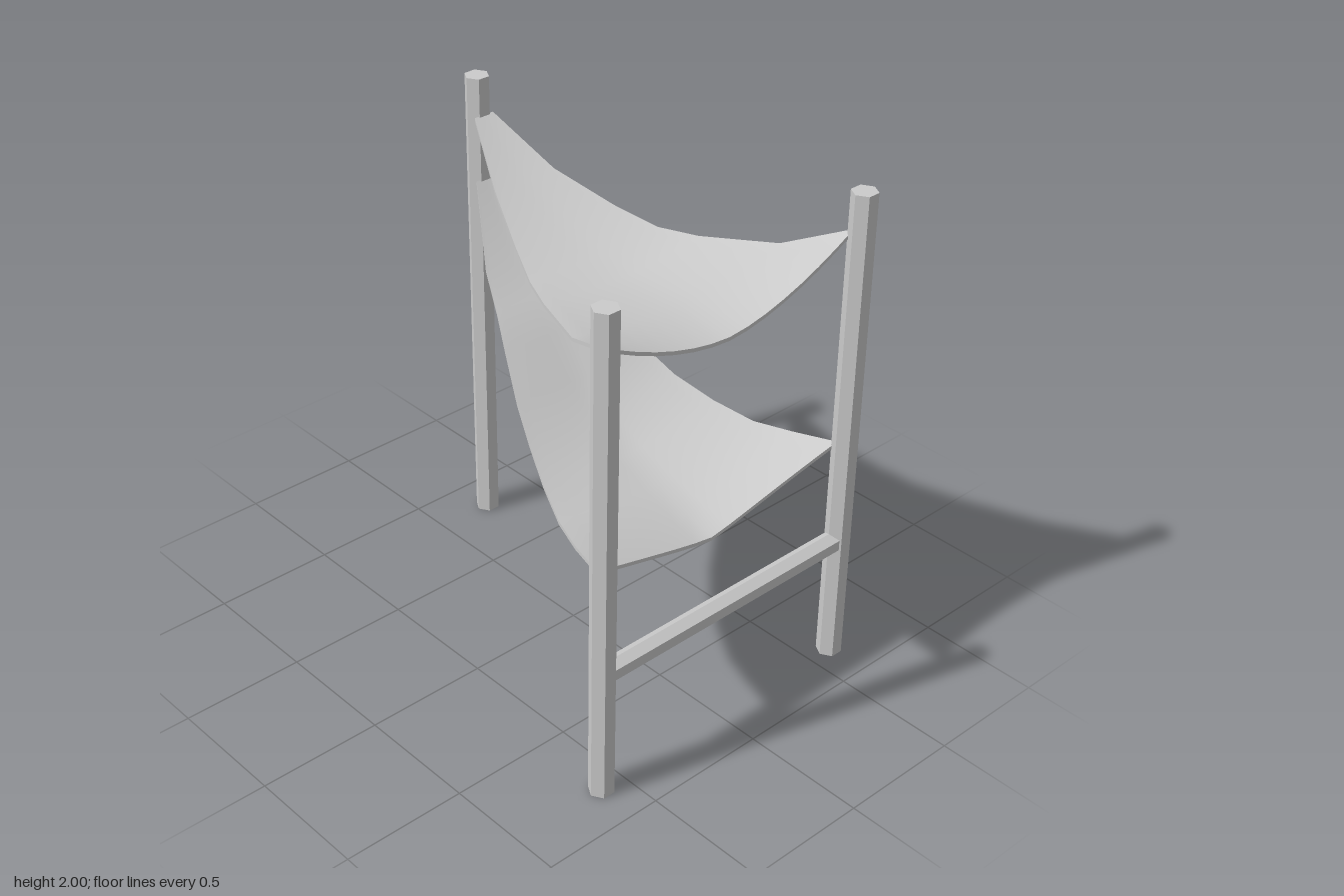
import * as THREE from 'three';
import { mergeGeometries } from 'three/addons/utils/BufferGeometryUtils.js';

const wood = new THREE.MeshStandardMaterial({ color: 0xcccccc, flatShading: true });
const fabric = new THREE.MeshStandardMaterial({ color: 0xcccccc });

// Hexagonal pole along y with corners pointing to +x and -x
const hexPole = (radius, length) =>
  new THREE.CylinderGeometry(radius, radius, length, 6).rotateY(Math.PI / 6);

// Thin sagging cloth. rows run front to back: [z, leftmost x, rightmost x, edge y, middle y].
// power shapes the sag across a row, pull draws the middle of the front edge inward.
function clothGeometry(rows, power, pull, thickness = 0.015) {
  const cols = 14;
  const points = rows.map(([z, x0, x1, yEdge, yMid], j) =>
    Array.from({ length: cols + 1 }, (_, i) => {
      const t = (2 * i) / cols - 1;
      const y = yMid + (yEdge - yMid) * Math.abs(t) ** power;
      const dz = j === 0 ? pull * (1 - t * t) : 0;
      return new THREE.Vector3(x0 + ((x1 - x0) * i) / cols, y, z - dz);
    }));
  const lower = (p) => new THREE.Vector3(p.x, p.y - thickness, p.z);

  // Upper and lower faces, smooth
  const face = (flip) => {
    const index = [];
    for (let j = 0; j < rows.length - 1; j++) {
      for (let i = 0; i < cols; i++) {
        const a = j * (cols + 1) + i, b = a + 1, d = a + cols + 1, c = d + 1;
        index.push(...(flip ? [a, c, b, a, d, c] : [a, b, c, a, c, d]));
      }
    }
    const flat = points.flat();
    const g = new THREE.BufferGeometry().setFromPoints(flip ? flat.map(lower) : flat);
    g.setIndex(index);
    g.computeVertexNormals();
    return g.toNonIndexed();
  };

  // Rim around the outline, hard edged
  const last = rows.length - 1;
  const loop = [
    ...points[0],
    ...points.slice(1, last).map((r) => r[cols]),
    ...points[last].slice().reverse(),
    ...points.slice(1, last).reverse().map((r) => r[0]),
  ];
  const rimPoints = loop.flatMap((p, k) => {
    const q = loop[(k + 1) % loop.length];
    return [lower(p), lower(q), q, lower(p), q, p];
  });
  const rim = new THREE.BufferGeometry().setFromPoints(rimPoints);
  rim.computeVertexNormals();
  return mergeGeometries([face(false), face(true), rim]);
}

export function createModel() {
  const model = new THREE.Group();
  const add = (name, geometry, material, x = 0, y = 0, z = 0) => {
    const mesh = new THREE.Mesh(geometry, material);
    mesh.name = name;
    mesh.position.set(x, y, z);
    model.add(mesh);
  };

  // Three upright posts
  const post = hexPole(0.05, 2);
  add('frontRightPost', post, wood, -0.605, 1, 0.825);
  add('frontLeftPost', post, wood, 0.605, 1, 0.825);
  add('backPost', post, wood, 0.245, 1, -0.828);

  // Rail joining the front posts
  add('frontRail', hexPole(0.043, 1.15).rotateZ(Math.PI / 2), wood, 0, 0.533, 0.825);

  // The left-hand side of both cloths is a straight line in plan
  const leftX = (z) => 0.29 + (z + 0.79) * 0.198;
  const rightX = (z) => 0.2 - (z + 0.79) * 0.508;

  // Canopy
  const canopy = [
    [0.79, 1.84, 1.64], [0.5, 1.69, 1.625], [0.16, 1.61, 1.575], [-0.02, 1.59, 1.575],
    [-0.22, 1.62, 1.61], [-0.5, 1.69, 1.685], [-0.79, 1.845, 1.845],
  ].map(([z, edge, mid]) => [z, rightX(z), leftX(z), edge, mid]);
  add('canopy', clothGeometry(canopy, 1.7, 0), fabric);

  // Sling seat, its right-hand side bowed outward
  const sling = [
    [0.79, -0.6, 0.955, 0.785], [0.6, -0.53, 0.925, 0.805], [0.43, -0.455, 0.905, 0.838],
    [0.25, -0.37, 0.93, 0.872], [0.07, -0.28, 0.98, 0.935], [-0.08, -0.21, 1.06, 1.035],
    [-0.25, -0.12, 1.17, 1.16], [-0.38, -0.05, 1.26, 1.255], [-0.55, 0.04, 1.345, 1.34],
    [-0.79, 0.2, 1.575, 1.575],
  ].map(([z, x, edge, mid]) => [z, x, leftX(z), edge, mid]);
  add('slingSeat', clothGeometry(sling, 1.25, 0.045), fabric);

  return model;
}
